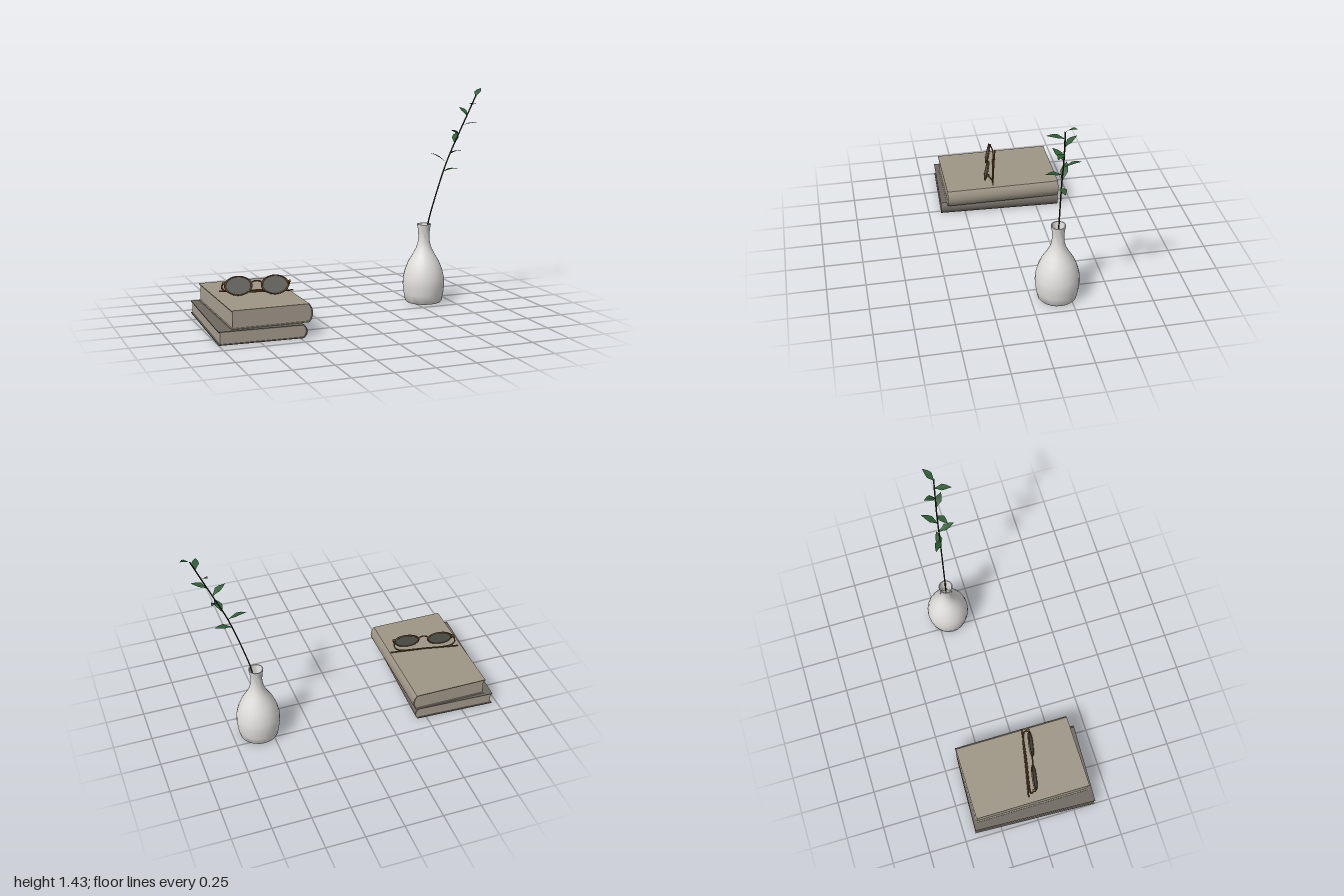
import * as THREE from 'three';
import { toCreasedNormals } from 'three/addons/utils/BufferGeometryUtils.js';

const mat = (name, color, side = THREE.FrontSide) => {
  const m = new THREE.MeshStandardMaterial({ color, side });
  m.name = name;
  return m;
};
const V = (x, y, z) => new THREE.Vector3(x, y, z);

export function createModel() {
  const root = new THREE.Group();
  const paleCover = mat('pale cover', 0x9e9686);
  const darkCover = mat('dark cover', 0x6e6961);
  const paper = mat('paper', 0xa89f90);
  const ceramic = mat('ceramic', 0xe0dedb);
  const bark = mat('stem', 0x2b2a1e);
  const green = mat('leaf green', 0x2f5f36, THREE.DoubleSide);
  const brown = mat('frame brown', 0x6b4a28);
  const smoke = mat('lens grey', 0x686862);

  const add = (parent, name, geometry, material) => {
    const mesh = new THREE.Mesh(geometry, material);
    mesh.name = name;
    parent.add(mesh);
    return mesh;
  };
  const tube = (points, radius, sides = 6, steps = 24) =>
    new THREE.TubeGeometry(new THREE.CatmullRomCurve3(points), steps, radius, sides);

  // Extrudes an outline along z, centred, keeping the spine smooth
  const slab = (shape, length) => {
    const g = new THREE.ExtrudeGeometry(shape, { depth: length, bevelEnabled: false, curveSegments: 8 });
    g.translate(0, 0, -length / 2);
    return toCreasedNormals(g, 0.6);
  };

  // Book: one wrapped cover with a rounded spine, and a page block inside
  function book(name, w, h, length, cover) {
    const group = new THREE.Group();
    group.name = name;
    const t = 0.006, l = -w / 2, r = w / 2 - 0.022, bulge = r + 0.044;
    const c = new THREE.Shape();
    c.moveTo(l, 0);
    c.lineTo(r, 0);
    c.quadraticCurveTo(bulge, h / 2, r, h);
    c.lineTo(l, h);
    c.lineTo(l, h - t);
    c.lineTo(r - 0.003, h - t);
    c.quadraticCurveTo(bulge - 0.012, h / 2, r - 0.003, t);
    c.lineTo(l, t);
    c.closePath();
    add(group, 'cover', slab(c, length), cover);
    const p = new THREE.Shape();
    p.moveTo(l + 0.009, t);
    p.lineTo(r - 0.003, t);
    p.quadraticCurveTo(bulge - 0.012, h / 2, r - 0.003, h - t);
    p.lineTo(l + 0.009, h - t);
    p.closePath();
    add(group, 'pages', slab(p, length - 0.014), paper);
    root.add(group);
    return group;
  }
  const lower = book('lowerBook', 0.545, 0.083, 0.82, darkCover);
  lower.position.set(-0.71, 0, -0.003);
  lower.rotation.y = -0.043;
  book('upperBook', 0.51, 0.115, 0.775, paleCover).position.set(-0.66, 0.083, -0.013);

  // Vase: outer wall, rim and hollow inside
  const outer = [[0.115, 0], [0.124, 0.008], [0.134, 0.06], [0.141, 0.12], [0.139, 0.165], [0.126, 0.22],
    [0.104, 0.275], [0.074, 0.325], [0.052, 0.367], [0.041, 0.405], [0.037, 0.45], [0.04, 0.49], [0.047, 0.53]];
  const inner = [[0.041, 0.53], [0.033, 0.48], [0.031, 0.44], [0.045, 0.37], [0.1, 0.26], [0.125, 0.13], [0.11, 0.02], [0, 0.02]];
  const profile = [[0, 0], ...outer, ...inner].map(([x, y]) => new THREE.Vector2(x, y));
  add(root, 'vase', toCreasedNormals(new THREE.LatheGeometry(profile, 24), 0.8), ceramic)
    .position.set(0.58, 0, -0.17);

  // Twig
  const twig = new THREE.Group();
  twig.name = 'twig';
  root.add(twig);
  add(twig, 'stem', tube([V(0.56, 0.03, -0.175), V(0.585, 0.35, -0.17), V(0.607, 0.53, -0.166), V(0.635, 0.64, -0.162),
    V(0.73, 0.94, -0.148), V(0.81, 1.125, -0.137), V(0.87, 1.26, -0.125), V(0.925, 1.385, -0.113)], 0.0045, 6, 32), bark);

  // Leaf: ribbon of cross-sections, pointed at the tip, gently arched
  function leafGeometry(base, tip) {
    const dir = tip.clone().sub(base);
    const side = V(0, 1, 0).cross(dir).normalize();
    const up = dir.clone().cross(side).normalize();
    const rows = [[0, 0.002], [0.22, 0.011], [0.45, 0.023], [0.7, 0.016], [1, 0.0005]];
    const pos = [], idx = [];
    rows.forEach(([t, half], i) => {
      const mid = base.clone().addScaledVector(dir, t).addScaledVector(up, 0.03 * t * (1 - t));
      for (const s of [-1, 0, 1]) {
        const p = mid.clone().addScaledVector(side, s * half).addScaledVector(up, Math.abs(s) * half * 0.15);
        pos.push(p.x, p.y, p.z);
      }
      if (i === 0) return;
      for (const k of [0, 1]) {
        const a = (i - 1) * 3 + k, b = a + 3;
        idx.push(a, b, a + 1, a + 1, b, b + 1);
      }
    });
    const g = new THREE.BufferGeometry();
    g.setAttribute('position', new THREE.Float32BufferAttribute(pos, 3));
    g.setIndex(idx);
    g.computeVertexNormals();
    return g;
  }
  const leaves = [
    [0.92, 1.375, -0.113, 0.99, 1.43, -0.165],
    [0.898, 1.32, -0.12, 0.868, 1.335, -0.018],
    [0.868, 1.25, -0.125, 0.845, 1.305, -0.2],
    [0.835, 1.185, -0.132, 0.922, 1.205, -0.076],
    [0.81, 1.127, -0.136, 0.72, 1.165, -0.09],
    [0.785, 1.065, -0.14, 0.842, 1.13, -0.233],
    [0.758, 1.0, -0.144, 0.782, 1.028, -0.037],
    [0.73, 0.94, -0.148, 0.625, 1.007, -0.2],
    [0.71, 0.88, -0.15, 0.815, 0.897, -0.15],
  ];
  leaves.forEach(([a, b, c, d, e, f], i) =>
    add(twig, `leaf${i + 1}`, leafGeometry(V(a, b, c), V(d, e, f)), green));

  // Spectacles: front leaning back, arms folded behind
  const glasses = new THREE.Group();
  glasses.name = 'spectacles';
  root.add(glasses);
  const front = new THREE.Group();
  front.name = 'spectacleFront';
  front.position.set(-0.6625, 0.264, 0.058);
  front.rotation.set(-0.25, -0.2, 0, 'YXZ');
  glasses.add(front);
  for (const s of [-1, 1]) {
    const rim = add(front, 'rim', new THREE.TorusGeometry(0.082, 0.006, 8, 32), brown);
    rim.scale.y = 0.7;
    const lens = add(front, 'lens', new THREE.CylinderGeometry(0.08, 0.08, 0.004, 32).rotateX(Math.PI / 2), smoke);
    lens.scale.y = 0.7;
    rim.position.x = lens.position.x = s * 0.114;
    add(front, 'hinge', new THREE.BoxGeometry(0.018, 0.014, 0.02), brown).position.set(s * 0.203, 0.018, -0.006);
  }
  add(front, 'bridge', tube([V(-0.036, 0.012, 0), V(-0.02, 0.024, 0.004), V(0, 0.028, 0.006), V(0.02, 0.024, 0.004),
    V(0.036, 0.012, 0)], 0.005), brown);
  add(glasses, 'leftArm', tube([V(-0.463, 0.28, 0.086), V(-0.455, 0.25, 0.066), V(-0.475, 0.228, 0.052),
    V(-0.68, 0.222, 0.008), V(-0.88, 0.222, -0.035)], 0.005), brown);
  add(glasses, 'rightArm', tube([V(-0.862, 0.28, 0.006), V(-0.868, 0.25, -0.012), V(-0.845, 0.226, -0.015),
    V(-0.64, 0.214, 0.024), V(-0.425, 0.213, 0.058)], 0.005), brown);

  return root;
}
